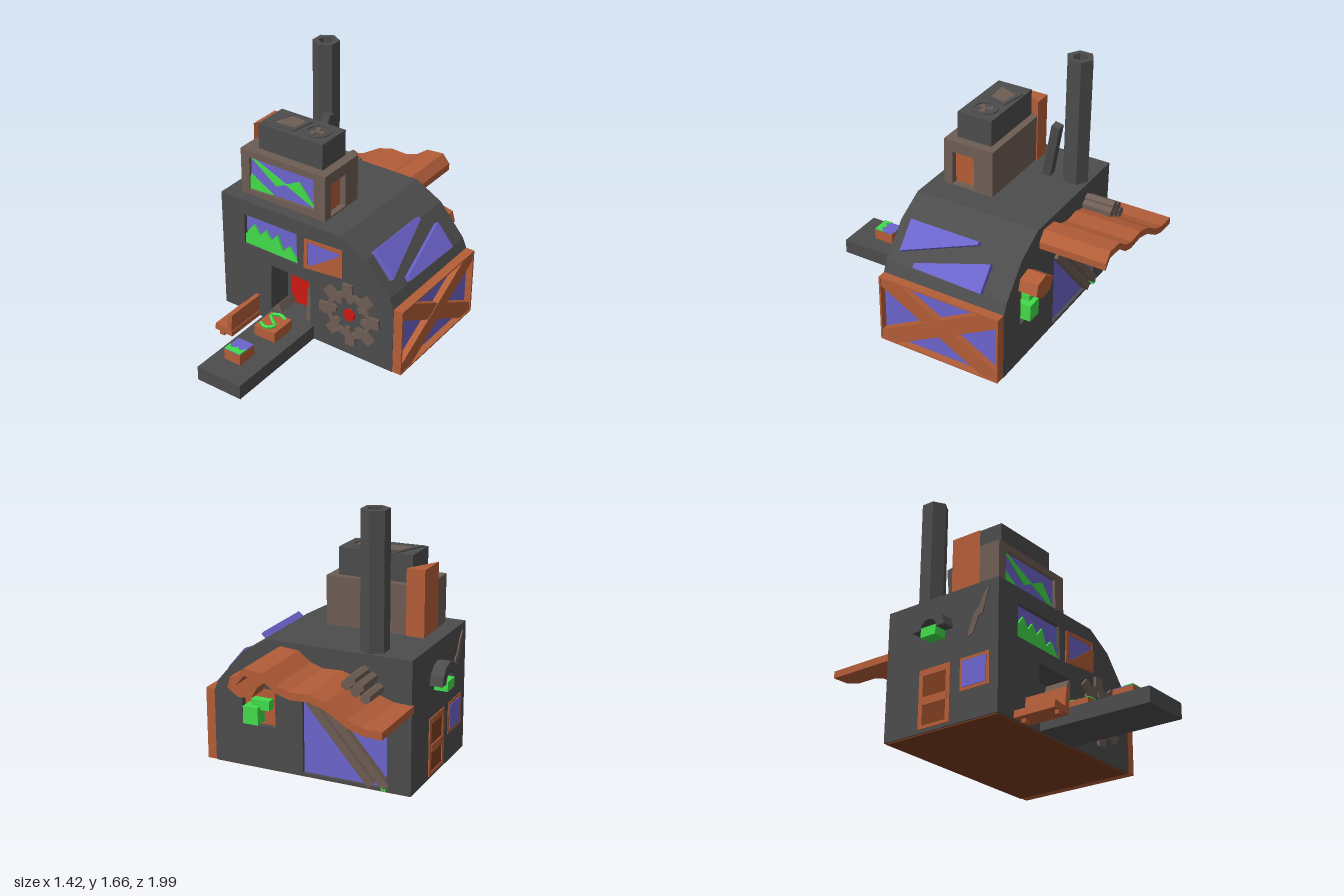
import * as THREE from 'three';

const C = { dark: 0x4c4c4c, brown: 0x6e5d54, orange: 0xb35d38, rust: 0x7c3c20, glass: 0x6c64cc, green: 0x42dc4a, red: 0xcc1a10 };
const mats = {};
const mat = (c) => (mats[c] ??= new THREE.MeshStandardMaterial({ color: C[c], flatShading: true, side: THREE.DoubleSide }));

function add(parent, name, geo, color) {
  const m = new THREE.Mesh(geo, mat(color));
  m.name = name;
  parent.add(m);
  return m;
}
// box given by its min and max on each axis
function box(parent, name, color, x0, x1, y0, y1, z0, z1) {
  const m = add(parent, name, new THREE.BoxGeometry(x1 - x0, y1 - y0, z1 - z0), color);
  m.position.set((x0 + x1) / 2, (y0 + y1) / 2, (z0 + z1) / 2);
  return m;
}
// outline extruded from z0 to z1
function plate(parent, name, color, pts, z0, z1, holes = []) {
  const v = (a) => a.map(([x, y]) => new THREE.Vector2(x, y));
  const s = new THREE.Shape(v(pts));
  holes.forEach((h) => s.holes.push(new THREE.Path(v(h))));
  const m = add(parent, name, new THREE.ExtrudeGeometry(s, { depth: z1 - z0, bevelEnabled: false, curveSegments: 8 }), color);
  m.position.z = z0;
  return m;
}
const rect = (x0, x1, y0, y1) => [[x0, y0], [x1, y0], [x1, y1], [x0, y1]];
const ring = (n, r, a0 = 0) => Array.from({ length: n }, (_, i) => {
  const a = a0 + (i / n) * Math.PI * 2;
  return [Math.cos(a) * r, Math.sin(a) * r];
});
// toothed outline
function cog(n, rOut, rIn, a0 = 0) {
  const pts = [];
  for (let i = 0; i < n; i++)
    [[-0.3, rIn], [-0.2, rOut], [0.2, rOut], [0.3, rIn]].forEach(([t, r]) => {
      const a = a0 + ((i + t) / n) * Math.PI * 2;
      pts.push([Math.cos(a) * r, Math.sin(a) * r]);
    });
  return pts;
}
// square bar between two points
function bar(parent, name, color, a, b, w, d = w) {
  const A = new THREE.Vector3(...a), B = new THREE.Vector3(...b);
  const m = add(parent, name, new THREE.BoxGeometry(w, A.distanceTo(B), d), color);
  m.position.copy(A).add(B).multiplyScalar(0.5);
  m.quaternion.setFromUnitVectors(new THREE.Vector3(0, 1, 0), B.sub(A).normalize());
  return m;
}
function sub(parent, name, rotY = 0) {
  const g = new THREE.Group();
  g.name = name;
  g.rotation.y = rotY;
  parent.add(g);
  return g;
}

function building(root) {
  const profile = [[-0.63, 0.02], [0.65, 0.02], [0.65, 0.47], [0.62, 0.54], [0.45, 0.74], [0.27, 0.84], [-0.63, 0.84]];
  const mirrored = profile.map(([x, y]) => [-x, y]).reverse();
  const door = [[-0.26, 0.11], [0.045, 0.11], [0.045, 0.43], [-0.25, 0.44]];
  const chart = [[-0.455, 0.53], [-0.05, 0.525], [-0.055, 0.74], [-0.455, 0.74]];
  plate(root, 'bodyCore', 'dark', profile, -0.5, 0.1);
  plate(root, 'frontWall', 'dark', profile, 0.1, 0.27, [door, chart]);
  box(root, 'floor', 'rust', -0.62, 0.64, 0.013, 0.022, -0.55, 0.26);

  // front: doorway, chart window, framed window, gear
  const f = sub(root, 'front');
  box(f, 'furnaceDoor', 'red', -0.215, -0.005, 0.1, 0.32, 0.1, 0.12);
  plate(f, 'doorJamb', 'brown', [[0.045, 0.11], [0.045, 0.43], [0.02, 0.36], [0.0, 0.14]], 0.1, 0.26);
  plate(f, 'doorSill', 'brown', [[-0.26, 0.11], [-0.18, 0.115], [-0.2, 0.17]], 0.12, 0.27);
  plate(f, 'chartGlass', 'glass', chart, 0.22, 0.245);
  plate(f, 'chart', 'green', [[-0.455, 0.53], [-0.05, 0.525], [-0.12, 0.62], [-0.17, 0.57], [-0.21, 0.67],
    [-0.26, 0.61], [-0.3, 0.67], [-0.345, 0.615], [-0.39, 0.68], [-0.455, 0.595]], 0.24, 0.26);
  plate(f, 'windowFrame', 'orange', [[0, 0.525], [0.285, 0.555], [0.285, 0.75], [0.01, 0.735]], 0.26, 0.278,
    [[[0.03, 0.555], [0.06, 0.56], [0.27, 0.705], [0.27, 0.72], [0.035, 0.72]]]);
  plate(f, 'windowGlass', 'glass', rect(0.02, 0.275, 0.55, 0.725), 0.262, 0.272);
  const gear = sub(f, 'gear');
  gear.position.set(0.34, 0.315, 0);
  plate(gear, 'gearRing', 'brown', cog(8, 0.22, 0.16, 0.06), 0.262, 0.287, [cog(8, 0.125, 0.09, 0.3)]);
  plate(gear, 'gearHub', 'red', ring(8, 0.042, Math.PI / 8), 0.26, 0.285);

  // back wall, drawn with its own x running to the viewer's right
  const b = sub(root, 'back', Math.PI);
  const hatch = rect(-0.46, -0.24, 0.29, 0.53), gate = rect(-0.06, 0.48, 0.04, 0.54);
  plate(b, 'backWall', 'dark', mirrored, 0.5, 0.56, [hatch, gate]);
  plate(b, 'hatchPanel', 'orange', hatch, 0.495, 0.525);
  box(b, 'hatchLamp', 'green', -0.43, -0.33, 0.31, 0.42, 0.52, 0.61);
  box(b, 'hatchLampTop', 'green', -0.39, -0.27, 0.4, 0.46, 0.52, 0.58);
  plate(b, 'hatchHood', 'orange', [[-0.49, 0.55], [-0.42, 0.5], [-0.33, 0.51], [-0.29, 0.58], [-0.38, 0.64], [-0.47, 0.62]], 0.55, 0.68);
  plate(b, 'gateGlass', 'glass', gate, 0.495, 0.54);
  [0, 0.09].forEach((o) => bar(b, 'gateBrace', 'brown', [-0.04 + o, 0.54, 0.56], [0.39 + o, 0.05, 0.56], 0.05, 0.04));
  box(b, 'gateLamp', 'green', 0.45, 0.48, 0.03, 0.06, 0.54, 0.58);

  // left wall, x running along the model's z
  const l = sub(root, 'left', -Math.PI / 2);
  const arch = (r) => Array.from({ length: 7 }, (_, i) => [-0.18 + r * Math.cos(i * Math.PI / 6), 0.61 + r * Math.sin(i * Math.PI / 6)]);
  plate(l, 'ventHood', 'dark', [...arch(0.12), ...arch(0.06).reverse()], 0.62, 0.71);
  box(l, 'ventLamp', 'green', -0.23, -0.12, 0.56, 0.62, 0.62, 0.715);
  plate(l, 'doorFrame', 'orange', rect(-0.3, -0.07, 0.04, 0.4), 0.62, 0.637, [rect(-0.27, -0.1, 0.06, 0.36)]);
  box(l, 'doorPanel', 'rust', -0.28, -0.09, 0.05, 0.37, 0.62, 0.632);
  box(l, 'doorBar', 'orange', -0.28, -0.09, 0.18, 0.23, 0.62, 0.64);
  plate(l, 'sideWindowFrame', 'orange', rect(0.0, 0.21, 0.2, 0.4), 0.62, 0.634);
  plate(l, 'sideWindow', 'glass', rect(0.02, 0.19, 0.22, 0.38), 0.62, 0.638);
  plate(l, 'crack', 'brown', [[0.05, 0.52], [0.09, 0.53], [0.13, 0.63], [0.16, 0.64], [0.21, 0.8], [0.17, 0.76], [0.13, 0.68], [0.1, 0.66]], 0.62, 0.638);

  // right wall: glazed panel with a crossed frame
  const r = sub(root, 'right', Math.PI / 2);
  const cross = sub(r, 'crossFrame');
  cross.position.set(0.145, 0.25, 0);
  plate(cross, 'crossGlass', 'glass', rect(-0.4, 0.4, -0.22, 0.22), 0.64, 0.665);
  plate(cross, 'crossBorder', 'orange', rect(-0.412, 0.412, -0.23, 0.225), 0.65, 0.71, [rect(-0.4, 0.4, -0.22, 0.215)]);
  [1, -1].forEach((s) => plate(cross, 'crossBeam', 'orange', [[-0.41, -0.225], [-0.3, -0.225], [0.41, 0.165], [0.41, 0.225], [0.3, 0.225], [-0.41, -0.165]]
    .map(([x, y]) => [x * s, y]), 0.665, 0.705 + s * 0.002));

  // skylights on the slanted roof
  const sky = sub(root, 'skylights');
  sky.position.set(0.535, 0.64, 0);
  sky.rotation.set(0, Math.PI / 2, 0.7, 'ZYX');
  [[[-0.19, 0.15], [0.28, 0.15], [0.28, 0.13], [-0.19, -0.05]], [[-0.07, -0.12], [-0.07, -0.09], [0.4, 0.05], [0.4, -0.13]]]
    .forEach((p) => plate(sky, 'skylight', 'glass', p, -0.01, 0.035));
}

function tower(root) {
  const t = sub(root, 'tower');
  const win = [[-0.47, 0.875], [0.02, 0.89], [0.015, 1.1], [-0.465, 1.1]];
  box(t, 'towerCore', 'brown', -0.53, 0.04, 0.84, 1.145, -0.15, 0.15);
  plate(t, 'towerFront', 'brown', rect(-0.53, 0.1, 0.84, 1.145), 0.15, 0.19, [win]);
  plate(t, 'towerGlass', 'glass', win, 0.145, 0.17);
  [[[-0.465, 1.1], [-0.27, 0.955], [-0.2, 0.99]], [[-0.2, 0.99], [0.02, 0.895], [-0.1, 1.04]], [[-0.47, 0.875], [-0.3, 0.885], [-0.465, 0.98]]]
    .forEach((p) => plate(t, 'towerChart', 'green', p, 0.165, 0.18));
  const side = sub(t, 'towerSide', Math.PI / 2);
  plate(side, 'towerSideWall', 'brown', rect(-0.15, 0.15, 0.84, 1.145), 0.04, 0.1, [rect(-0.13, 0.02, 0.85, 1.07)]);
  plate(side, 'towerDoor', 'orange', rect(-0.13, 0.02, 0.85, 1.07), 0.035, 0.06);

  // wedge on the back left corner (outline in x and -z, raised upward)
  const w = sub(t, 'wedge');
  w.rotation.x = -Math.PI / 2;
  plate(w, 'cornerWedge', 'orange', [[-0.535, -0.05], [-0.42, 0.16], [-0.535, 0.16]], 0.84, 1.25);

  // rooftop unit with hatch and fan
  box(t, 'roofUnit', 'dark', -0.435, 0.04, 1.145, 1.315, -0.105, 0.13);
  const top = sub(t, 'roofUnitTop');
  top.rotation.x = -Math.PI / 2;
  const hatch = [[-0.37, -0.07], [-0.22, -0.06], [-0.2, 0.05], [-0.32, 0.06]];
  plate(top, 'roofHatchRim', 'dark', [[-0.42, -0.11], [-0.2, -0.1], [-0.17, 0.07], [-0.34, 0.095]], 1.31, 1.322, [hatch]);
  plate(top, 'roofHatch', 'brown', hatch, 1.31, 1.319);
  const fan = sub(top, 'fan');
  fan.position.set(-0.08, -0.01, 0);
  plate(fan, 'fanRim', 'dark', ring(12, 0.085), 1.31, 1.322, [ring(12, 0.065)]);
  plate(fan, 'fanBlades', 'brown', cog(3, 0.05, 0.012), 1.31, 1.319);
}

function chimney(root) {
  // hollow six-sided stack and its leaning strut
  const pts = [[0.085, 0.82], [0.085, 1.66], [0.048, 1.66], [0.048, 1.5], [0, 1.5]].map((p) => new THREE.Vector2(...p));
  add(root, 'chimney', new THREE.LatheGeometry(pts, 6), 'dark').position.set(-0.36, 0, -0.465);
  bar(root, 'chimneyStrut', 'dark', [-0.33, 0.82, -0.29], [-0.275, 1.22, -0.375], 0.055);
}

function awning(root) {
  // wavy sheet stretching out behind
  const line = [[0.25, 0.75], [0.2, 0.81], [0.08, 0.8], [0, 0.74], [-0.08, 0.715], [-0.2, 0.72], [-0.3, 0.69], [-0.43, 0.61], [-0.52, 0.58], [-0.64, 0.575]];
  const under = line.map(([x, y]) => [x, y - 0.045]).reverse();
  plate(root, 'awning', 'orange', [...line, ...under], -0.99, -0.55);
  // stack of logs on the sheet
  const rows = [[-0.43, 0.65], [-0.37, 0.68], [-0.31, 0.71], [-0.39, 0.71], [-0.34, 0.74]];
  rows.forEach(([x, y]) => {
    const log = add(root, 'log', new THREE.CylinderGeometry(0.033, 0.033, 0.2, 6), 'brown');
    log.rotation.x = Math.PI / 2;
    log.position.set(x, y, -0.65);
  });
}

function yard(root) {
  const c = sub(root, 'conveyor');
  box(c, 'conveyorBelt', 'dark', -0.25, 0.07, 0.02, 0.115, 0.2, 1);
  // parcel with a curled ribbon
  box(c, 'parcel', 'orange', -0.175, -0.02, 0.115, 0.185, 0.375, 0.55);
  const curl = [[-0.055, 0.4], [-0.1, 0.385], [-0.145, 0.415], [-0.1, 0.46], [-0.06, 0.495], [-0.1, 0.535], [-0.15, 0.515]]
    .map(([x, z]) => new THREE.Vector3(x, 0.195, z));
  add(c, 'ribbon', new THREE.TubeGeometry(new THREE.CatmullRomCurve3(curl), 20, 0.012, 5), 'green');
  // parcel with a picture lid
  box(c, 'pictureParcel', 'orange', -0.17, -0.05, 0.115, 0.185, 0.71, 0.845);
  box(c, 'pictureLid', 'glass', -0.168, -0.052, 0.18, 0.19, 0.712, 0.842);
  const lid = sub(c, 'lid');
  lid.rotation.x = -Math.PI / 2;
  plate(lid, 'lidHills', 'green', [[-0.168, -0.842], [-0.052, -0.842], [-0.052, -0.78], [-0.08, -0.81], [-0.11, -0.79], [-0.14, -0.815], [-0.168, -0.78]], 0.185, 0.195);

  // bench
  const b = sub(root, 'bench');
  plate(b, 'benchSeat', 'orange', [[-0.49, 0.025], [-0.355, 0.02], [-0.355, 0.055], [-0.485, 0.07]], 0.27, 0.55);
  plate(b, 'benchBack', 'orange', [[-0.395, 0.06], [-0.36, 0.055], [-0.35, 0.18], [-0.38, 0.18]], 0.27, 0.55);
  [0.3, 0.525].forEach((z) => box(b, 'benchLeg', 'orange', -0.455, -0.42, 0, 0.03, z, z + 0.025));
}

export function createModel() {
  const root = new THREE.Group();
  root.name = 'factory';
  [building, tower, chimney, awning, yard].forEach((build) => build(root));
  return root;
}
